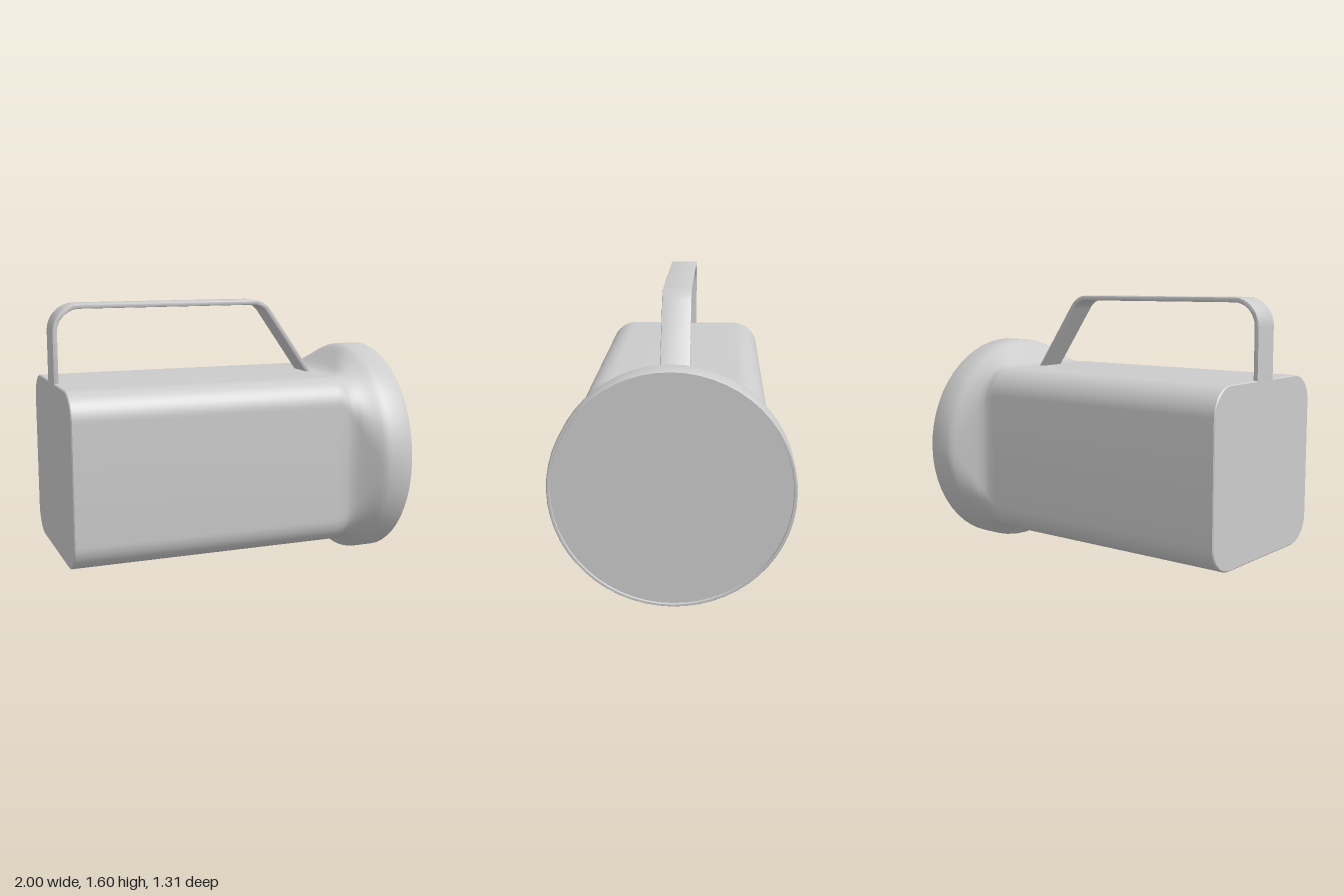
import * as THREE from 'three';
import { toCreasedNormals } from 'three/addons/utils/BufferGeometryUtils.js';

const CENTER_Y = 0.655;
const ARC = 14; // segments per rounded corner

// Rounded-square ring in the y/z plane; it is a circle when r equals h
function ring(x, h, r) {
  const pts = [];
  for (let c = 0; c < 4; c++) {
    const mid = (c + 0.5) * Math.PI / 2;
    const cy = Math.sign(Math.cos(mid)) * (h - r);
    const cz = Math.sign(Math.sin(mid)) * (h - r);
    for (let k = 0; k <= ARC; k++) {
      const t = (c + k / ARC) * Math.PI / 2;
      pts.push(x, CENTER_Y + cy + r * Math.cos(t), cz + r * Math.sin(t));
    }
  }
  return pts;
}

// Skin a list of [x, half size, corner radius] sections
function loft(sections) {
  const n = 4 * (ARC + 1);
  const pos = sections.flatMap(s => ring(...s));
  const index = [];
  for (let i = 0; i < sections.length - 1; i++) {
    for (let j = 0; j < n; j++) {
      const a = i * n + j, b = i * n + (j + 1) % n;
      index.push(a, b, b + n, a, b + n, a + n);
    }
  }
  const geo = new THREE.BufferGeometry();
  geo.setAttribute('position', new THREE.Float32BufferAttribute(pos, 3));
  geo.setIndex(index);
  return toCreasedNormals(geo, 0.6);
}

export function createModel() {
  const group = new THREE.Group();
  const material = new THREE.MeshStandardMaterial({ color: 0xcccccc, side: THREE.DoubleSide });
  const add = (name, geo) => {
    const mesh = new THREE.Mesh(geo, material);
    mesh.name = name;
    group.add(mesh);
    return mesh;
  };

  // Square housing flaring into the round head, with a thin rim folded inwards
  add('housing', loft([
    [-1, 0, 0], [-1, 0.494, 0.154], [-0.994, 0.5, 0.16],
    [0.6, 0.5, 0.16], [0.65, 0.502, 0.19], [0.68, 0.512, 0.25], [0.71, 0.535, 0.32],
    [0.75, 0.573, 0.44], [0.79, 0.612, 0.55], [0.815, 0.635, 0.61], [0.835, 0.649, 0.645],
    [0.86, 0.655, 0.655], [0.99, 0.655, 0.655], [1, 0.649, 0.649],
    [1, 0.638, 0.638], [0.985, 0.636, 0.636],
  ]));

  // Flat lens recessed in the rim
  const lens = add('lens', new THREE.CircleGeometry(0.637, 64));
  lens.rotation.y = Math.PI / 2;
  lens.position.set(0.986, CENTER_Y, 0);

  // Strap handle: upright rear leg, flat grip, sloping front leg
  const s = new THREE.Shape();
  s.moveTo(-1, 1.13);
  s.lineTo(-1, 1.44);
  s.absarc(-0.84, 1.44, 0.16, Math.PI, Math.PI / 2, true);
  s.lineTo(0.22, 1.6);
  s.quadraticCurveTo(0.29, 1.6, 0.335, 1.535);
  s.lineTo(0.621, 1.13);
  s.lineTo(0.588, 1.13);
  s.lineTo(0.312, 1.52);
  s.quadraticCurveTo(0.276, 1.572, 0.22, 1.572);
  s.lineTo(-0.84, 1.572);
  s.absarc(-0.84, 1.44, 0.132, Math.PI / 2, Math.PI, false);
  s.lineTo(-0.972, 1.13);
  const bevel = 0.006;
  const strap = new THREE.ExtrudeGeometry(s, {
    depth: 0.165 - 2 * bevel, curveSegments: 14, bevelEnabled: true,
    bevelThickness: bevel, bevelSize: bevel, bevelOffset: -bevel, bevelSegments: 2,
  });
  strap.translate(0, 0, -0.0825 + bevel);
  add('handle', toCreasedNormals(strap, 0.6));

  return group;
}
